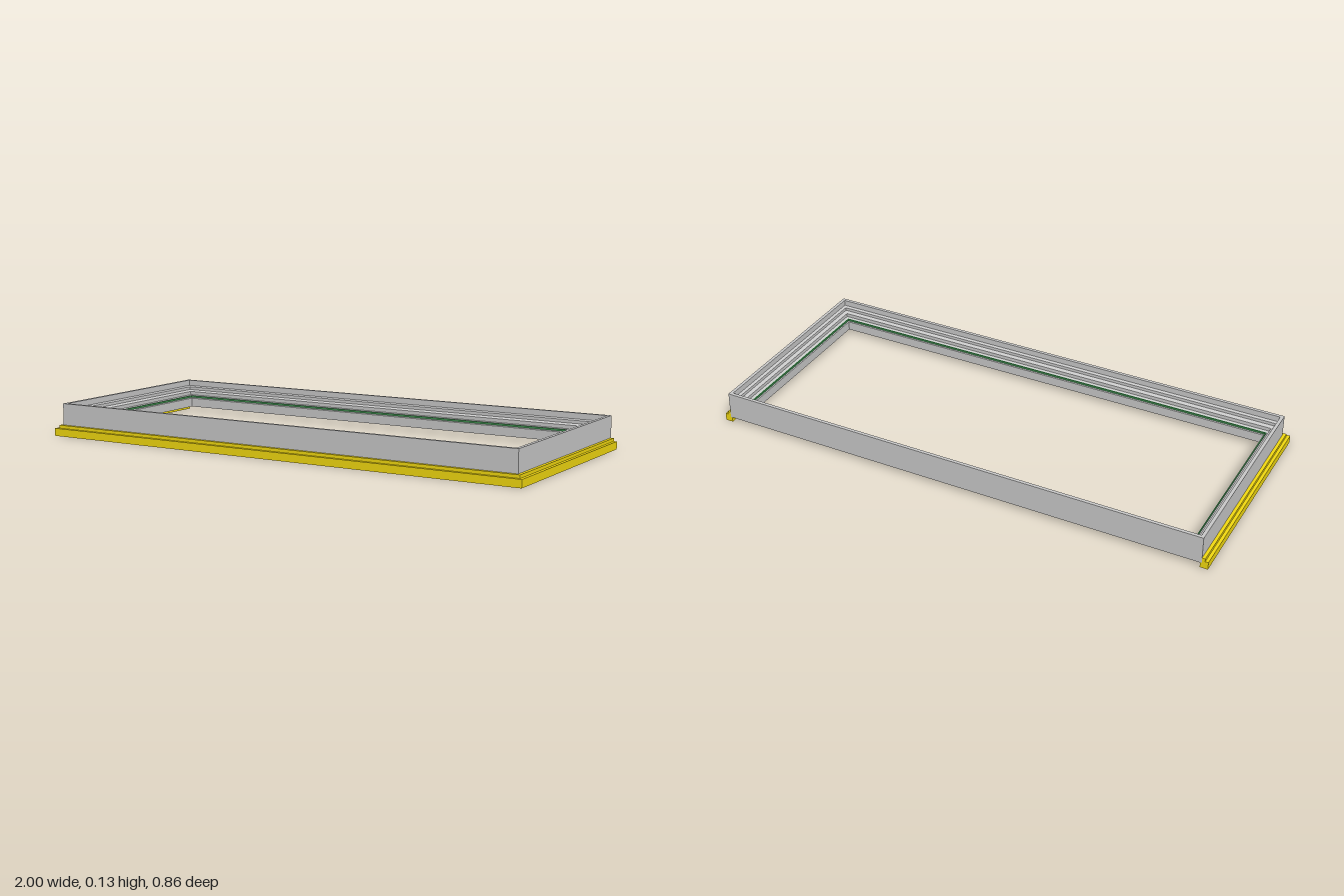
import * as THREE from 'three';

const BACK = -0.427, FRONT = 0.405, SIDE = 0.976;

// Corners of the frame outline, pushed outward by o, running left-back, front, right-back
function corners(o, open) {
  const x = SIDE + o, back = open ? BACK : BACK - o;
  return [[-x, back], [-x, FRONT + o], [x, FRONT + o], [x, back]];
}

// Sweep a counter-clockwise profile of [outward, y] points round the mitred outline
function sweep(name, profile, color, open = false) {
  const pos = [];
  const point = ([o, y], c) => {
    const [x, z] = corners(o, open)[c % 4];
    return [x, y, z];
  };
  const tri = (a, b, c) => pos.push(...a, ...b, ...c);
  for (let c = 0; c < (open ? 3 : 4); c++) {
    profile.forEach((p, i) => {
      const q = profile[(i + 1) % profile.length];
      tri(point(p, c), point(p, c + 1), point(q, c + 1));
      tri(point(p, c), point(q, c + 1), point(q, c));
    });
  }
  if (open) { // close the two cut ends at the back
    const flat = profile.map(p => new THREE.Vector2(...p));
    for (const [i, j, k] of THREE.ShapeUtils.triangulateShape(flat, [])) {
      tri(point(profile[i], 0), point(profile[j], 0), point(profile[k], 0));
      tri(point(profile[k], 3), point(profile[j], 3), point(profile[i], 3));
    }
  }
  const geo = new THREE.BufferGeometry();
  geo.setAttribute('position', new THREE.Float32BufferAttribute(pos, 3));
  geo.computeVertexNormals();
  const mesh = new THREE.Mesh(geo, new THREE.MeshStandardMaterial({ color }));
  mesh.name = name;
  return mesh;
}

export function createModel() {
  const group = new THREE.Group();
  group.name = 'windowFrame';

  // Main frame: tall thin outer wall, stepping down to the inner lip
  group.add(sweep('frame', [
    [0, 0.02], [0, 0.127], [-0.013, 0.127], [-0.013, 0.104],
    [-0.024, 0.1], [-0.024, 0.088], [-0.037, 0.082], [-0.037, 0.068],
    [-0.048, 0.064], [-0.056, 0.056], [-0.056, 0.02],
    [-0.042, 0.02], [-0.042, 0.027], [-0.016, 0.027], [-0.016, 0.02],
  ], 0xcccccc));

  // Thin seal lying on the inner ledge
  group.add(sweep('seal', [
    [-0.049, 0.058], [-0.049, 0.067], [-0.053, 0.067], [-0.053, 0.058],
  ], 0x3f8f4f));

  // Stepped trim round the front and both ends, open at the back
  group.add(sweep('trim', [
    [-0.006, 0], [0.024, 0], [0.024, 0.03], [0.012, 0.03],
    [0.012, 0.042], [0, 0.042], [0, 0.02], [-0.006, 0.02],
  ], 0xf5dc10, true));

  return group;
}
